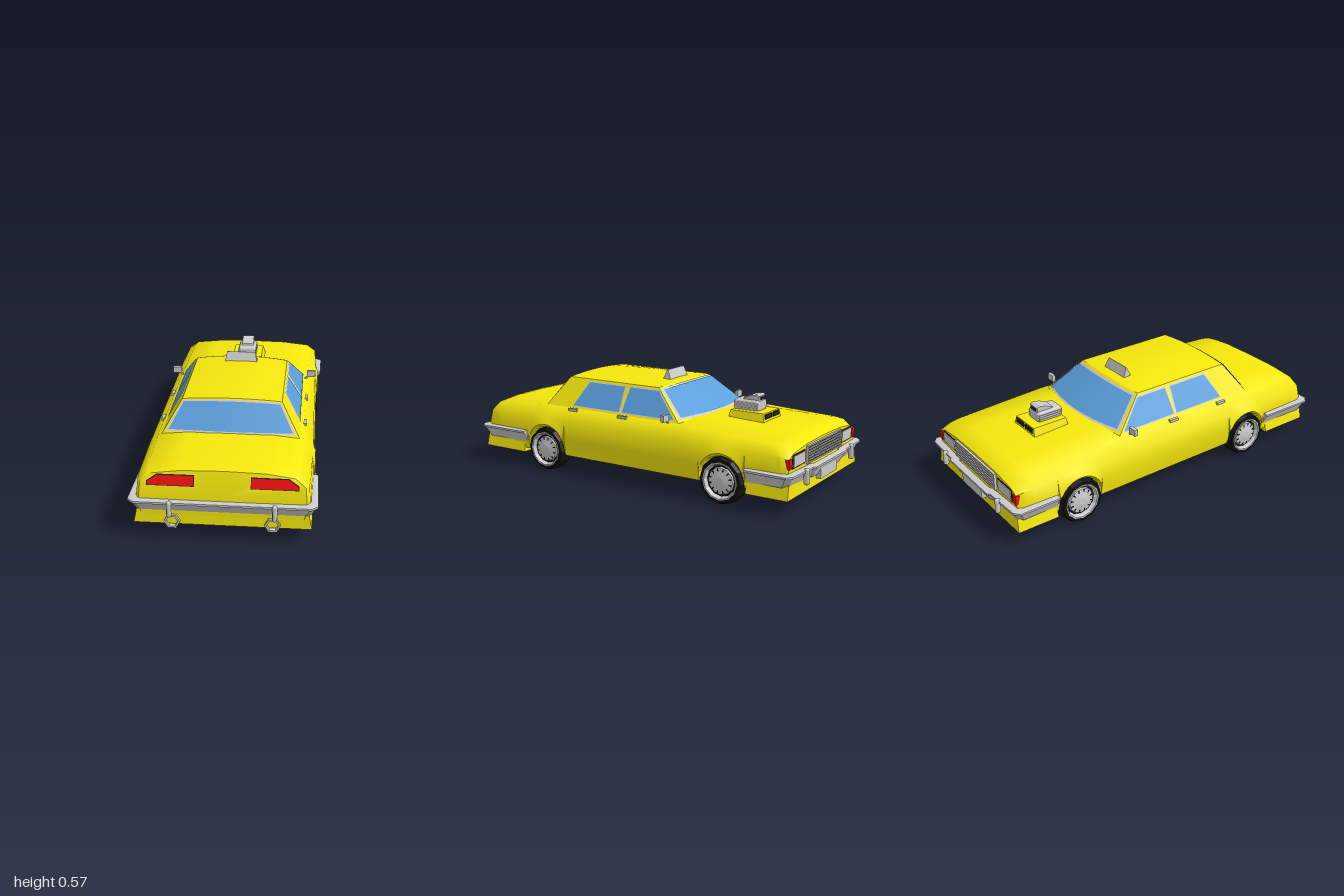
import * as THREE from 'three';
import { toCreasedNormals } from 'three/addons/utils/BufferGeometryUtils.js';
import { RoundedBoxGeometry } from 'three/addons/geometries/RoundedBoxGeometry.js';

const mat = (color, extra = {}) => new THREE.MeshStandardMaterial({ color, ...extra });
const both = { side: THREE.DoubleSide };
const yellow = mat(0xf5e80c), yellowThin = mat(0xf5e80c, both);
const grey = mat(0xcccccc), greyThin = mat(0xcccccc, both), greyFlat = mat(0xcccccc, { flatShading: true });
const black = mat(0x111111, { flatShading: true }), dark = mat(0x222222, both);
const glass = mat(0x5a9fdc, both), red = mat(0xf01010, both);
const { lerp } = THREE.MathUtils;

// Surface through rows of [x, y, z] points; faces look along rowDirection x columnDirection
function grid(rows, { closed = false, crease = 0.85 } = {}) {
  const n = rows[0].length, index = [];
  for (let r = 0; r < rows.length - 1; r++) {
    for (let c = 0; c < (closed ? n : n - 1); c++) {
      const a = r * n + c, b = r * n + (c + 1) % n;
      index.push(a, a + n, b, b, a + n, b + n);
    }
  }
  const g = new THREE.BufferGeometry();
  g.setAttribute('position', new THREE.Float32BufferAttribute(rows.flat(2), 3));
  g.setIndex(index);
  return toCreasedNormals(g, crease);
}

// Box whose top is scaled by sx, sz
function taper(w, h, d, sx, sz) {
  const g = new THREE.BoxGeometry(w, h, d), p = g.attributes.position;
  for (let i = 0; i < p.count; i++) if (p.getY(i) > 0) p.setXYZ(i, p.getX(i) * sx, p.getY(i), p.getZ(i) * sz);
  g.computeVertexNormals();
  return g;
}

const WHEELS = [0.51, -0.595], AXLE = 0.12, ARCH = 0.125;
// Body stations: z, half width, top height, floor height
const KEYS = [
  [0.955, 0.385, 0.345, 0.13], [0.93, 0.4, 0.353, 0.12], [0.85, 0.405, 0.36, 0.105], [0.557, 0.41, 0.372, 0.1],
  [-0.343, 0.41, 0.372, 0.1], [-0.6, 0.41, 0.36, 0.1], [-0.85, 0.405, 0.35, 0.105], [-0.905, 0.403, 0.342, 0.12],
  [-0.945, 0.39, 0.315, 0.13],
];

function bodySection(z) {
  const k = Math.max(1, KEYS.findIndex(s => s[0] <= z));
  const A = KEYS[k - 1], B = KEYS[k], f = (z - A[0]) / (B[0] - A[0]);
  const [w, top, b] = [1, 2, 3].map(i => lerp(A[i], B[i], f));
  let arch = b;
  for (const c of WHEELS) {
    const d = Math.abs(z - c);
    if (d <= ARCH + 1e-6) arch = AXLE + Math.sqrt(Math.max(0, ARCH * ARCH - d * d));
  }
  const flare = arch > b ? 0.006 : 0;
  const half = [
    [0, b], [0.31, b], [0.315, arch], [w - 0.005 + flare, arch], [w + 0.008 + flare, Math.max(0.19, arch + 0.015)],
    [w, Math.min(0.285, top - 0.04)], [w - 0.05, top - 0.02], [0.2, top - 0.004], [0, top],
  ];
  const ring = [...half, ...half.slice(1, -1).reverse().map(([x, y]) => [-x, y])];
  // The tail leans forward towards its top
  return ring.map(([x, y]) => [x, y, z - (z > 0.9 ? Math.max(0, y - 0.22) * 0.3 : 0)]);
}

function bodyGeometry() {
  const zs = KEYS.map(s => s[0]);
  for (const c of WHEELS) {
    zs.push(c + ARCH + 0.003, c - ARCH - 0.003);
    for (let i = 0; i <= 14; i++) zs.push(c + ARCH * Math.cos(i * Math.PI / 14));
  }
  const rows = zs.sort((a, b) => b - a).map(bodySection);
  const cap = z => rows[0].map(() => [0, 0.22, z]);
  return grid([cap(0.955), ...rows, cap(-0.945)], { closed: true });
}

// Cabin surfaces: u runs across, t from base to roof edge
const screen = (u, t) => [lerp(0.345, 0.25, t) * u, lerp(0.35, 0.505 + 0.012 * (1 - u * u), t),
  lerp(-0.375 + 0.065 * u * u, -0.145 + 0.02 * u * u, t)];
const back = (u, t) => [lerp(0.345, 0.25, t) * u, lerp(0.35, 0.505 + 0.012 * (1 - u * u), t),
  lerp(0.575 - 0.015 * u * u, 0.465 - 0.005 * u * u, t)];
const US = Array.from({ length: 9 }, (_, i) => 1 - i / 4);

function cabinGeometry() {
  return grid(US.map(u => {
    const a = screen(u, 1), b = back(u, 1), line = [screen(u, 0), a];
    for (let v = 1 / 8; v < 1; v += 1 / 8) {
      const p = a.map((q, i) => lerp(q, b[i], v));
      p[1] += 0.012 * 4 * v * (1 - v) * (1 - u * u);
      line.push(p);
    }
    return [...line, b, back(u, 0)];
  }), { crease: 0.45 });
}

function wheel() {
  const g = new THREE.Group();
  const lathe = (name, pts, m) => {
    const o = new THREE.Mesh(new THREE.LatheGeometry(pts.map(p => new THREE.Vector2(...p)), 12), m);
    o.name = name;
    g.add(o);
  };
  lathe('tyre', [[0, -0.05], [0.105, -0.05], [0.12, -0.03], [0.12, 0.03], [0.112, 0.05], [0.09, 0.05], [0.083, 0.03], [0, 0.03]], black);
  lathe('rimRing', [[0.097, 0.048], [0.096, 0.053], [0.089, 0.053], [0.08, 0.031]], greyFlat);
  lathe('hubcap', [[0.071, 0.03], [0.068, 0.041], [0.045, 0.045], [0.02, 0.05], [0, 0.05]], greyFlat);
  for (let i = 0; i < 12; i++) {
    const a = (i + 0.5) * Math.PI / 6;
    const slot = new THREE.Mesh(new THREE.BoxGeometry(0.006, 0.004, 0.016), black);
    slot.name = 'hubSlot';
    slot.position.set(Math.sin(a) * 0.056, 0.042, Math.cos(a) * 0.056);
    slot.rotation.y = a;
    g.add(slot);
  }
  return g;
}

// Bumper wrapped round one end; path points are [x, z, facesEnd]
function bumperGeometry(path, s) {
  const section = [[0.028, 0.14], [0.004, 0.19], [-0.004, 0.193], [-0.004, 0.203], [0.004, 0.207], [0.03, 0.207], [0.04, 0.14]];
  const rows = path.map(([x, z, end]) => section.map(([d, y]) => [s * (x - Math.sign(x) * d), y, s * (z - end * d)]));
  const cap = r => r.map(() => [(r[0][0] + r[4][0]) / 2, 0.17, r[0][2]]);
  return grid([cap(rows[0]), ...rows, cap(rows.at(-1))], { closed: true, crease: 0.5 });
}

export function createModel() {
  const car = new THREE.Group();
  car.name = 'car';
  const add = (name, geo, m, x = 0, y = 0, z = 0) => {
    const o = new THREE.Mesh(geo, m);
    o.name = name;
    o.position.set(x, y, z);
    car.add(o);
    return o;
  };
  const box = (name, m, w, h, d, x, y, z) => add(name, new THREE.BoxGeometry(w, h, d), m, x, y, z);

  // Shell
  add('body', bodyGeometry(), yellow);
  add('cabin', cabinGeometry(), yellow);
  add('rearValance', taper(0.835, 0.07, 0.285, 0.965, 0.97), yellow, 0, 0.115, 0.813);
  add('frontValance', taper(0.835, 0.07, 0.225, 0.965, 0.97), yellow, 0, 0.115, -0.843);

  // Windscreen and rear window, each glass over a slightly larger trim
  for (const [name, f, dir] of [['windscreen', screen, -1], ['rearWindow', back, 1]]) {
    const pane = (k, t0, t1, off) => grid([t0, t1].map(t => US.map(u => {
      const [x, y, z] = f(u * k, t);
      return [x, y + off, z + dir * off];
    })));
    add(name + 'Trim', pane(0.965, 0.1, 0.95, 0.003), greyThin);
    add(name, pane(0.93, 0.14, 0.9, 0.006), glass);
  }

  for (const s of [1, -1]) {
    // Cabin side and door windows: bottom z pair, top z pair
    add('cabinSide', grid([[screen(s, 0), back(s, 0)], [screen(s, 1), back(s, 1)]]), yellowThin);
    for (const [name, b0, b1, t0, t1] of [['frontDoorWindow', -0.275, 0.05, -0.135, 0.045], ['rearDoorWindow', 0.068, 0.375, 0.08, 0.315]]) {
      const pane = (e, off) => grid([[0.368 - e, b0 - e, b1 + e], [0.49 + e, t0 - e, t1 + e]].map(([y, z0, z1]) => {
        const x = s * (0.345 - (y - 0.35) * 0.613 + off);
        return [[x, y, z0], [x, y, z1]];
      }));
      add(name + 'Trim', pane(0.006, 0.003), greyThin);
      add(name, pane(0, 0.006), glass);
    }
    for (const z of [0.027, 0.355]) box('doorHandle', grey, 0.016, 0.014, 0.055, s * 0.366, 0.35, z);

    // Mirrors
    box('mirror', grey, 0.048, 0.035, 0.02, s * 0.385, 0.383, -0.25);
    const stem = add('mirrorStem', new THREE.CylinderGeometry(0.005, 0.005, 0.05, 6), grey, s * 0.36, 0.358, -0.25);
    stem.rotation.z = -s * 0.8;

    // Wheels
    WHEELS.forEach((z, i) => {
      const w = wheel();
      w.name = i ? 'noseWheel' : 'tailWheel';
      w.position.set(s * 0.375, AXLE, z);
      w.rotation.z = -s * Math.PI / 2;
      car.add(w);
    });

    // Tail lamps
    const lamp = (e, off) => grid([
      [[0.135 - e, 0.275 - e], [0.305, 0.275 - e], [0.35 + e, 0.275 - e]],
      [[0.135 - e, 0.32 + e], [0.305 + e / 2, 0.32 + e], [0.35 + e, 0.29 + e / 2]],
    ].map(r => r.map(([x, y]) => [s * x, y, 0.955 - (y - 0.22) * 0.3 + off])));
    add('tailLampTrim', lamp(0.004, 0.002), dark);
    add('tailLamp', lamp(0, 0.005), red);

    // Head lamps and corner lamps
    box('headLampFrame', dark, 0.135, 0.068, 0.01, s * 0.288, 0.255, -0.943);
    box('headLamp', grey, 0.123, 0.056, 0.014, s * 0.288, 0.255, -0.945);
    box('cornerLamp', red, 0.03, 0.05, 0.03, s * 0.382, 0.25, -0.935);

    // Bumper guards and exhausts
    for (const [x, z] of [[0.245, 0.984], [0.275, -0.984]])
      add('bumperGuard', new THREE.CapsuleGeometry(0.012, 0.06, 4, 8), grey, s * x, 0.172, z).scale.z = 1.3;
    const pipe = new THREE.LatheGeometry([[0.03, -0.12], [0.038, 0.12], [0.028, 0.12], [0.024, 0.03], [0, 0.03]]
      .map(p => new THREE.Vector2(...p)), 6);
    const exhaust = add('exhaust', pipe, greyFlat, s * 0.235, 0.098, 0.85);
    exhaust.rotation.set(Math.PI / 2, Math.PI / 6, 0);
  }

  // Bumpers
  const side = (list) => [...list.map(([x, z, e]) => [-x, z, e]), ...list.slice().reverse()];
  add('rearBumper', bumperGeometry(side([[0.436, 0.65, 0], [0.44, 0.95, 1], [0.41, 0.978, 1]]), 1), grey);
  add('frontBumper', bumperGeometry(side([[0.436, 0.73, 0], [0.44, 0.95, 1], [0.41, 0.975, 1], [0.205, 0.982, 1], [0.19, 0.994, 1]]), -1), grey);
  box('numberPlate', grey, 0.2, 0.055, 0.025, 0, 0.143, -0.968);

  // Grille
  box('grilleBack', dark, 0.4, 0.09, 0.012, 0, 0.257, -0.945);
  for (let i = 0; i < 7; i++) box('grilleBar', grey, 0.4, 0.007, 0.02, 0, 0.215 + i * 0.014, -0.947);
  for (const x of [-0.2, 0.2]) box('grilleEnd', grey, 0.008, 0.092, 0.022, x, 0.257, -0.947);

  // Roof sign
  add('roofSign', taper(0.174, 0.05, 0.046, 0.9, 0.08), grey, 0, 0.544, -0.068);

  // Hood scoop with twin intakes, and the blower above it
  add('hoodScoop', taper(0.2, 0.05, 0.205, 0.85, 0.95), yellow, 0, 0.374, -0.557);
  for (const x of [-0.042, 0.042]) box('intake', dark, 0.07, 0.024, 0.01, x, 0.381, -0.656);
  add('blower', new RoundedBoxGeometry(0.1, 0.06, 0.145, 2, 0.014), grey, 0, 0.422, -0.53);
  for (let i = 0; i < 3; i++) box('blowerRib', grey, 0.106, 0.006, 0.135, 0, 0.41 + i * 0.012, -0.53);
  const hat = new THREE.Shape([[-0.595, 0.448], [-0.505, 0.448], [-0.512, 0.458], [-0.55, 0.474], [-0.585, 0.48], [-0.598, 0.474]]
    .map(([z, y]) => new THREE.Vector2(-z, y)));
  const hatGeo = new THREE.ExtrudeGeometry(hat, { depth: 0.056, bevelSize: 0.004, bevelThickness: 0.006, bevelSegments: 1 });
  hatGeo.rotateY(Math.PI / 2);
  add('airHat', hatGeo, grey, -0.028, 0, 0);
  box('airHatMouth', dark, 0.05, 0.018, 0.006, 0, 0.463, -0.6);
  return car;
}
